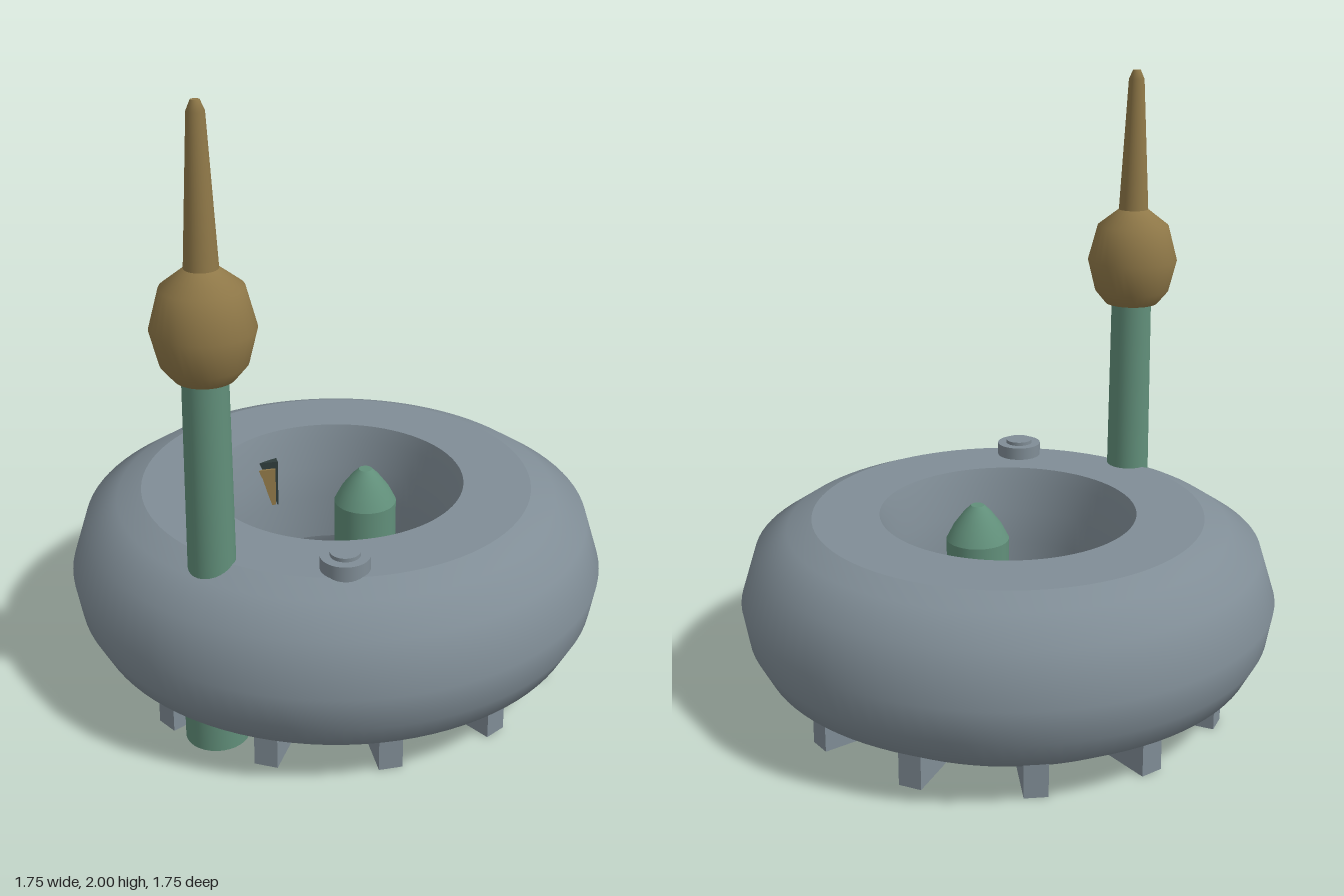
import * as THREE from 'three';

const paint = (name, color) => {
  const m = new THREE.MeshStandardMaterial({ color });
  m.name = name;
  return m;
};

export function createModel() {
  const grey = paint('blue grey', 0x808d96);
  const green = paint('sea green', 0x618f7a);
  const ochre = paint('ochre', 0x8f7848);
  const dark = paint('dark green', 0x2e3c3b);

  const model = new THREE.Group();
  model.name = 'ringBase';

  const add = (name, geometry, material, x = 0, y = 0, z = 0, parent = model) => {
    const mesh = new THREE.Mesh(geometry, material);
    mesh.name = name;
    mesh.position.set(x, y, z);
    parent.add(mesh);
    return mesh;
  };
  // Profile points are [radius, height]; repeat a point to make a hard edge.
  const lathe = (points, segments) =>
    new THREE.LatheGeometry(points.map(([r, y]) => new THREE.Vector2(r, y)), segments);

  // Hollow, tyre-like ring
  add('ring', lathe([
    [0.37, 0.2], [0.39, 0.12], [0.44, 0.065], [0.44, 0.065],
    [0.67, 0.07], [0.67, 0.07], [0.81, 0.16], [0.855, 0.245], [0.875, 0.36],
    [0.825, 0.52], [0.72, 0.59], [0.64, 0.622], [0.64, 0.622],
    [0.42, 0.622], [0.42, 0.622], [0.405, 0.57], [0.385, 0.47], [0.37, 0.36], [0.37, 0.2],
  ], 96), grey);

  // Floor of the well
  add('floor', new THREE.CylinderGeometry(0.44, 0.44, 0.045, 64), dark, 0, 0.0775, 0);

  // Twelve radial feet
  const feet = new THREE.Group();
  feet.name = 'feet';
  model.add(feet);
  for (let i = 0; i < 12; i++) {
    const a = (i * Math.PI) / 6;
    const foot = add('foot', new THREE.BoxGeometry(0.074, 0.11, 0.205), grey,
      Math.sin(a) * 0.6275, 0.055, Math.cos(a) * 0.6275, feet);
    foot.rotation.y = a;
  }

  // Tall column through the ring, with bulb and spike
  const tower = new THREE.Group();
  tower.name = 'tower';
  tower.position.set(-0.48, 0, 0.43);
  model.add(tower);
  add('column', lathe([
    [0, 0], [0.1, 0], [0.1, 0], [0.1, 0.3], [0.1, 0.3],
    [0.074, 0.45], [0.074, 0.45], [0.068, 1.22],
  ], 32), green, 0, 0, 0, tower);
  add('bulbAndSpike', lathe([
    [0, 1.21], [0.09, 1.21], [0.09, 1.21], [0.127, 1.255], [0.153, 1.36],
    [0.121, 1.48], [0.05, 1.535], [0.05, 1.535], [0.026, 1.97], [0.013, 2], [0.013, 2], [0, 2],
  ], 32), ochre, 0, 0, 0, tower);

  // Short capped post standing in the well
  add('innerPost', lathe([
    [0.103, 0.09], [0.103, 0.53], [0.103, 0.53], [0.08, 0.575],
    [0.045, 0.622], [0.022, 0.645], [0.022, 0.645], [0, 0.645],
  ], 32), green, 0.1, 0, 0);

  // Stepped cap on the deck
  add('capBase', new THREE.CylinderGeometry(0.076, 0.076, 0.06, 32), grey, -0.105, 0.635, 0.57);
  add('capTop', new THREE.CylinderGeometry(0.046, 0.046, 0.02, 32), grey, -0.105, 0.667, 0.57);

  // Small panel set into the well wall
  add('panelBox', new THREE.BoxGeometry(0.1, 0.17, 0.075), dark, -0.18, 0.445, -0.3825);
  add('panelFace', new THREE.BoxGeometry(0.085, 0.14, 0.008), ochre, -0.1825, 0.435, -0.341);

  return model;
}
